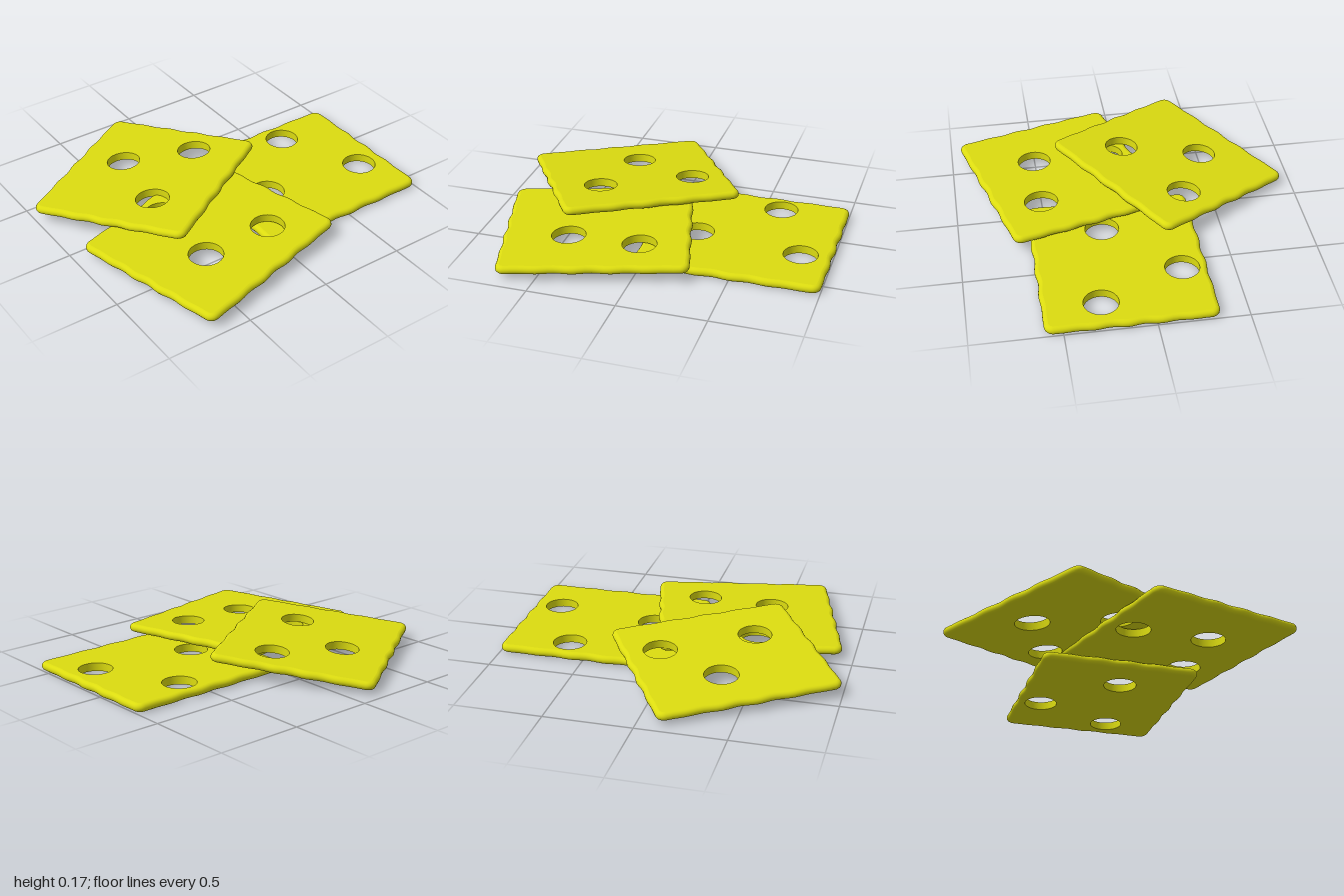
import * as THREE from 'three';
import { mergeVertices } from 'three/addons/utils/BufferGeometryUtils.js';

const W = 0.94, D = 1.05, T = 0.048, R = 0.05, HOLE = 0.097;
const material = new THREE.MeshStandardMaterial({ color: 0xdcdc10 });
const innerMaterial = new THREE.MeshStandardMaterial({ color: 0xdcdc10, side: THREE.BackSide });

// Rounded, slightly wavy rectangle in x/z, pulled in by `inset`
function outline(inset, seed) {
  const points = [], cx = W / 2 - R, cz = D / 2 - R, sideSteps = 28, cornerSteps = 6;
  const corners = [[cx, cz], [-cx, cz], [-cx, -cz], [cx, -cz]];
  corners.forEach(([x, z], k) => {
    const [nx, nz] = corners[(k + 1) % 4];
    const add = (px, pz, angle, wave) => {
      const reach = R - inset + wave;
      points.push(new THREE.Vector2(px + Math.cos(angle) * reach, pz + Math.sin(angle) * reach));
    };
    for (let i = 0; i < cornerSteps; i++) add(x, z, (k + i / cornerSteps) * Math.PI / 2, 0);
    for (let i = 0; i < sideSteps; i++) {
      const t = i / sideSteps;
      const wave = 0.006 * Math.sin(Math.PI * t) * Math.sin(t * 29 + seed + k * 2);
      add(x + (nx - x) * t, z + (nz - z) * t, (k + 1) * Math.PI / 2, wave);
    }
  });
  return points;
}

// Half-round rim swept around the outline
function rimGeometry(seed) {
  const steps = 8, positions = [], index = [];
  let n = 0;
  for (let j = 0; j <= steps; j++) {
    const a = -Math.PI / 2 + Math.PI * j / steps;
    const ring = outline((T / 2) * (1 - Math.cos(a)), seed);
    n = ring.length;
    ring.forEach(p => positions.push(p.x, Math.sin(a) * T / 2, p.y));
  }
  for (let j = 0; j < steps; j++) {
    for (let i = 0; i < n; i++) {
      const a = j * n + i, b = j * n + (i + 1) % n;
      index.push(a, a + n, b, b, a + n, b + n);
    }
  }
  const g = new THREE.BufferGeometry();
  g.setAttribute('position', new THREE.Float32BufferAttribute(positions, 3));
  g.setIndex(index);
  const merged = mergeVertices(g);
  merged.computeVertexNormals();
  return merged;
}

// Flat face with the holes cut out; side is +1 for the top, -1 for the bottom
function faceGeometry(holes, seed, side) {
  const shape = new THREE.Shape(outline(T / 2, seed).map(p => new THREE.Vector2(p.x, -side * p.y)));
  for (const [x, z] of holes) {
    shape.holes.push(new THREE.Path().absarc(x, -side * z, HOLE, 0, Math.PI * 2, true));
  }
  return new THREE.ShapeGeometry(shape, 24).rotateX(-side * Math.PI / 2).translate(0, side * T / 2, 0);
}

function makeSlice({ name, center, yaw, slope, holes, seed }) {
  const slice = new THREE.Group();
  slice.name = name;
  const add = (geometry, part, mat = material) => {
    const mesh = new THREE.Mesh(geometry, mat);
    mesh.name = part;
    slice.add(mesh);
    return mesh;
  };
  // Hole centres as offsets in the slice's own axes
  const c = Math.cos(yaw), s = Math.sin(yaw);
  const local = holes.map(([x, z]) => {
    const dx = x - center[0], dz = z - center[2];
    return [dx * c - dz * s, dx * s + dz * c];
  });
  add(faceGeometry(local, seed, 1), 'topFace');
  add(faceGeometry(local, seed, -1), 'bottomFace');
  add(rimGeometry(seed), 'rim');
  for (const [x, z] of local) {
    add(new THREE.CylinderGeometry(HOLE, HOLE, T, 48, 1, true), 'holeWall', innerMaterial).position.set(x, 0, z);
  }
  // Turn about the vertical, then lean to the given slope along x and z
  const up = new THREE.Vector3(0, 1, 0);
  const normal = new THREE.Vector3(-slope[0], 1, -slope[1]).normalize();
  slice.quaternion.setFromUnitVectors(up, normal)
    .multiply(new THREE.Quaternion().setFromAxisAngle(up, yaw));
  slice.position.set(...center);
  return slice;
}

export function createModel() {
  const model = new THREE.Group();
  model.name = 'cheeseSlices';
  const slices = [
    { name: 'backSlice', center: [0.13, T / 2, -0.475], yaw: 0, slope: [0, 0], seed: 1,
      holes: [[0.28, -0.83], [-0.2, -0.615], [0.19, -0.215]] },
    { name: 'leftSlice', center: [0.365, 0.07, 0.315], yaw: 0.255, slope: [-0.01, -0.025], seed: 3,
      holes: [[0.51, 0.025], [0.51, 0.44], [0.07, 0.44]] },
    { name: 'rightSlice', center: [-0.28, 0.097, 0.315], yaw: 0.56, slope: [0.09, -0.021], seed: 5,
      holes: [[-0.315, -0.04], [-0.485, 0.35], [-0.02, 0.44]] },
  ];
  slices.forEach(s => model.add(makeSlice(s)));
  return model;
}
